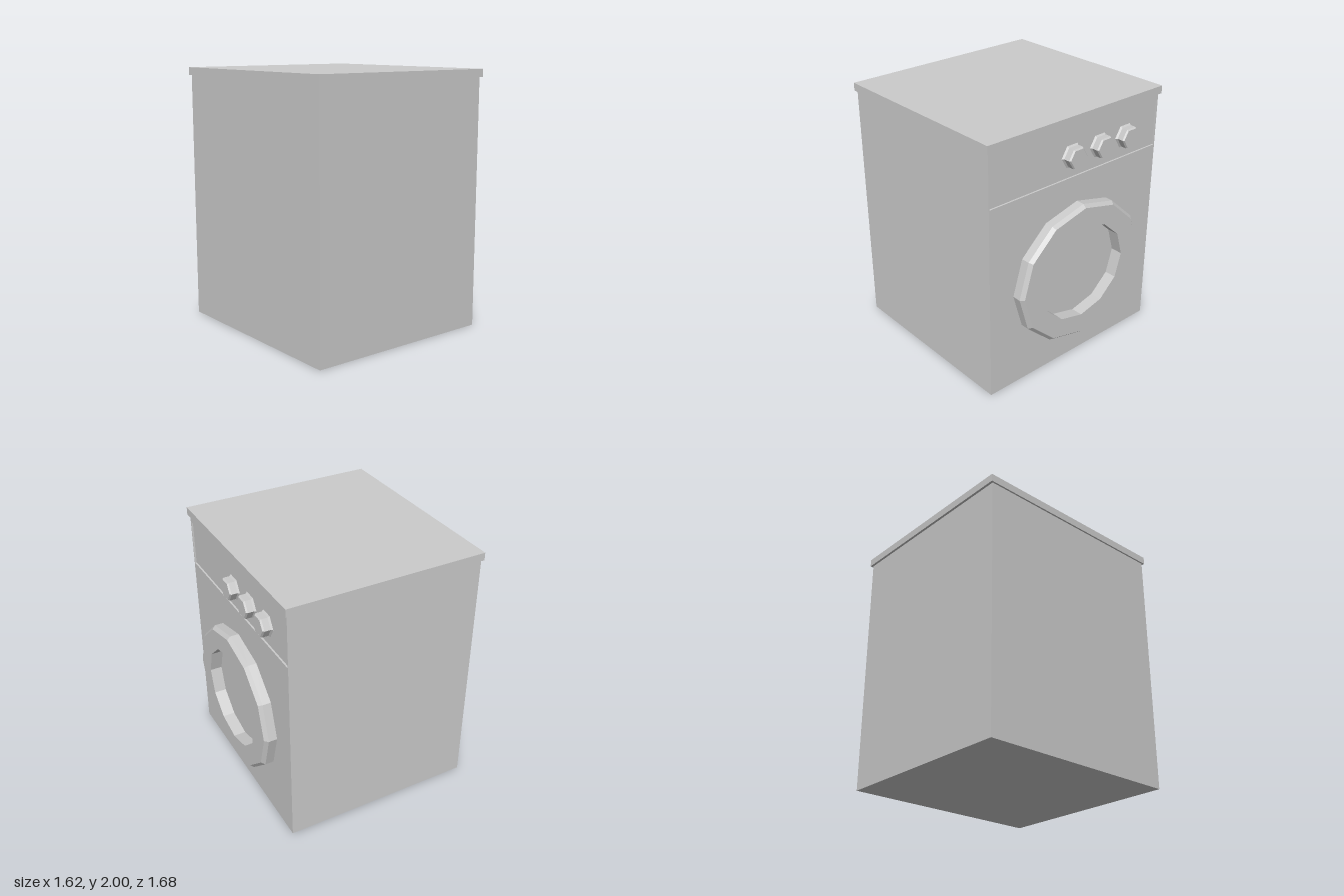
import * as THREE from 'three';

const material = new THREE.MeshStandardMaterial({ color: 0xcccccc, flatShading: true });

function add(parent, name, geometry, x = 0, y = 0, z = 0) {
  const mesh = new THREE.Mesh(geometry, material);
  mesh.name = name;
  mesh.position.set(x, y, z);
  parent.add(mesh);
  return mesh;
}

// Box given by its minimum and maximum corners
function addBox(parent, name, [x0, y0, z0], [x1, y1, z1]) {
  return add(parent, name, new THREE.BoxGeometry(x1 - x0, y1 - y0, z1 - z0),
    (x0 + x1) / 2, (y0 + y1) / 2, (z0 + z1) / 2);
}

// Faceted turned part whose axis points along +x; profile holds [radius, x]
function turned(profile, sides, heightRatio) {
  const points = profile.map(([r, x]) => new THREE.Vector2(r, x));
  const geometry = new THREE.LatheGeometry(points, sides)
    .rotateZ(-Math.PI / 2)
    .scale(1, heightRatio, 1)
    .toNonIndexed();
  geometry.computeVertexNormals();
  return geometry;
}

function rectangle(target, halfWidth, y0, y1) {
  target.moveTo(-halfWidth, y0);
  target.lineTo(halfWidth, y0);
  target.lineTo(halfWidth, y1);
  target.lineTo(-halfWidth, y1);
  target.closePath();
  return target;
}

export function createModel() {
  const group = new THREE.Group();
  group.name = 'washingMachine';
  const front = 0.717, panel = 0.704, halfDepth = 0.82, bodyTop = 1.94;

  // Cabinet and overhanging worktop
  addBox(group, 'cabinet', [-0.8, 0, -halfDepth], [panel, bodyTop, halfDepth]);
  addBox(group, 'worktop', [-0.813, bodyTop, -0.838], [0.733, 2, 0.838]);

  // Front plate with the shallow control panel recess cut out
  const plate = rectangle(new THREE.Shape(), halfDepth, 0, bodyTop);
  plate.holes.push(rectangle(new THREE.Path(), 0.812, 1.53, 1.885));
  const plateGeometry = new THREE.ExtrudeGeometry(plate, { depth: front - panel, bevelEnabled: false });
  plateGeometry.rotateY(Math.PI / 2);
  add(group, 'frontPlate', plateGeometry, panel, 0, 0);

  // Bevelled door ring around an open window
  const door = turned([
    [0.605, front], [0.605, 0.783], [0.579, 0.81], [0.412, 0.81], [0.412, front],
  ], 12, 0.922);
  add(group, 'doorRing', door, 0, 0.767, 0);

  // Three hexagonal knobs with flared bases
  const knob = turned([
    [0.1, panel], [0.088, front], [0.088, 0.763], [0.079, 0.775], [0, 0.775],
  ], 6, 0.95);
  [0.053, -0.224, -0.487].forEach((z, i) => add(group, `knob${i + 1}`, knob, 0, 1.693, z));

  return group;
}
